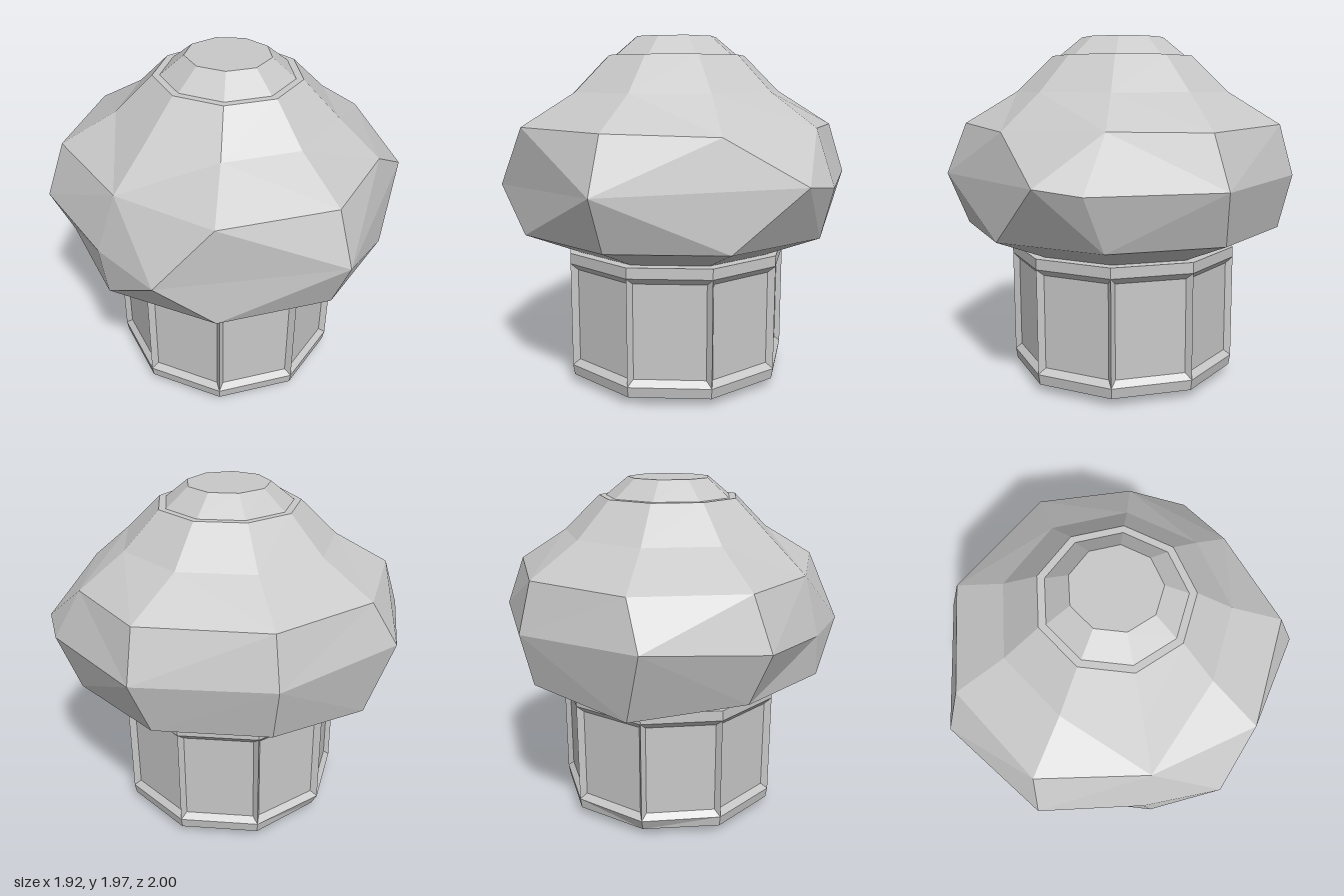
import * as THREE from 'three';

const N = 9, CX = 0.065;
const V = (x, y, z) => new THREE.Vector3(x, y, z);

// Regular nine-sided ring, starting at the back and turning towards +x
const ring = (r, y) => Array.from({ length: N }, (_, i) => {
  const a = (i / N) * Math.PI * 2;
  return V(CX + r * Math.sin(a), y, -r * Math.cos(a));
});

const tri = (out, a, b, c) => out.push(...a, ...b, ...c);

// Quad split along its shorter diagonal, corners counter-clockwise
function quad(out, a, b, c, d) {
  if (a.distanceTo(c) <= b.distanceTo(d)) { tri(out, a, b, c); tri(out, a, c, d); }
  else { tri(out, a, b, d); tri(out, b, c, d); }
}

// Skin between rings listed from bottom to top
function loft(out, rings) {
  for (let k = 0; k + 1 < rings.length; k++) {
    const L = rings[k], U = rings[k + 1];
    for (let i = 0; i < N; i++) {
      const j = (i + 1) % N;
      quad(out, L[j], L[i], U[i], U[j]);
    }
  }
}

// Flat fan closing a ring
function lid(out, pts, up) {
  const c = pts.reduce((s, p) => s.add(p), V(0, 0, 0)).divideScalar(N);
  pts.forEach((p, i) => {
    const q = pts[(i + 1) % N];
    if (up) tri(out, c, q, p); else tri(out, c, p, q);
  });
}

export function createModel() {
  const group = new THREE.Group();
  const stone = new THREE.MeshStandardMaterial({ color: 0xc8c8c8, flatShading: true });
  stone.name = 'paleGrey';

  const add = (name, build) => {
    const out = [];
    build(out);
    const g = new THREE.BufferGeometry();
    g.setAttribute('position', new THREE.Float32BufferAttribute(out, 3));
    g.computeVertexNormals();
    const mesh = new THREE.Mesh(g, stone);
    mesh.name = name;
    group.add(mesh);
  };

  // Foot disc
  add('foot', (o) => {
    const low = ring(0.53, 0);
    lid(o, low, false);
    loft(o, [low, ring(0.53, 0.06)]);
  });

  // Stem with plain bands above and below the sunken panels
  const R = 0.66, low = ring(R, 0.11), high = ring(R, 0.71);
  add('stemBands', (o) => {
    const under = ring(R - 0.01, 0.05), top = ring(R, 0.77);
    under[7].set(-0.55, 0.04, -0.11);
    lid(o, under, false);
    loft(o, [under, low]);
    loft(o, [high, top]);
    lid(o, top, true);
  });

  // Sunken panel with a sloped frame on each side
  add('stemPanels', (o) => {
    for (let i = 0; i < N; i++) {
      const j = (i + 1) % N;
      const outer = [low[j], low[i], high[i], high[j]];
      const mid = low[i].clone().add(low[j]).multiplyScalar(0.5);
      const inward = V(CX - mid.x, 0, -mid.z).normalize();
      const along = low[i].clone().sub(low[j]).normalize();
      const inner = outer.map((p, k) => p.clone()
        .addScaledVector(inward, 0.03)
        .addScaledVector(along, k === 1 || k === 2 ? -0.03 : 0.03)
        .add(V(0, k < 2 ? 0.035 : -0.035, 0)));
      for (let k = 0; k < 4; k++) {
        const n = (k + 1) % 4;
        quad(o, outer[k], outer[n], inner[n], inner[k]);
      }
      quad(o, ...inner);
    }
  });

  // Cap: hewn, uneven widest ring between flared underside and dome
  add('cap', (o) => {
    const skirt = ring(0.91, 0.9);
    skirt[7].y = 0.83;
    const widest = [
      V(0.13, 1.19, -1.0), V(0.78, 1.19, -0.72), V(0.95, 1.22, -0.54),
      V(0.95, 1.19, 0.52), V(0.1, 1.14, 1.0), V(-0.3, 1.14, 0.84),
      V(-0.79, 1.19, 0.56), V(-0.96, 1.23, -0.08), V(-0.57, 1.2, -0.75),
    ];
    const shoulder = [
      V(0.15, 1.47, -0.9), V(0.62, 1.48, -0.67), V(0.9, 1.46, -0.12),
      V(0.85, 1.48, 0.46), V(0.37, 1.48, 0.86), V(-0.22, 1.46, 0.77),
      V(-0.73, 1.48, 0.46), V(-0.83, 1.48, -0.15), V(-0.52, 1.48, -0.69),
    ];
    const base = ring(0.6, 0.77);
    lid(o, base, false);
    loft(o, [base, skirt, widest, shoulder, ring(0.61, 1.66), ring(0.405, 1.86), ring(0.365, 1.86)]);
  });

  // Small crown on top
  add('crown', (o) => {
    const top = ring(0.235, 1.965);
    loft(o, [ring(0.365, 1.86), top]);
    lid(o, top, true);
  });

  return group;
}
